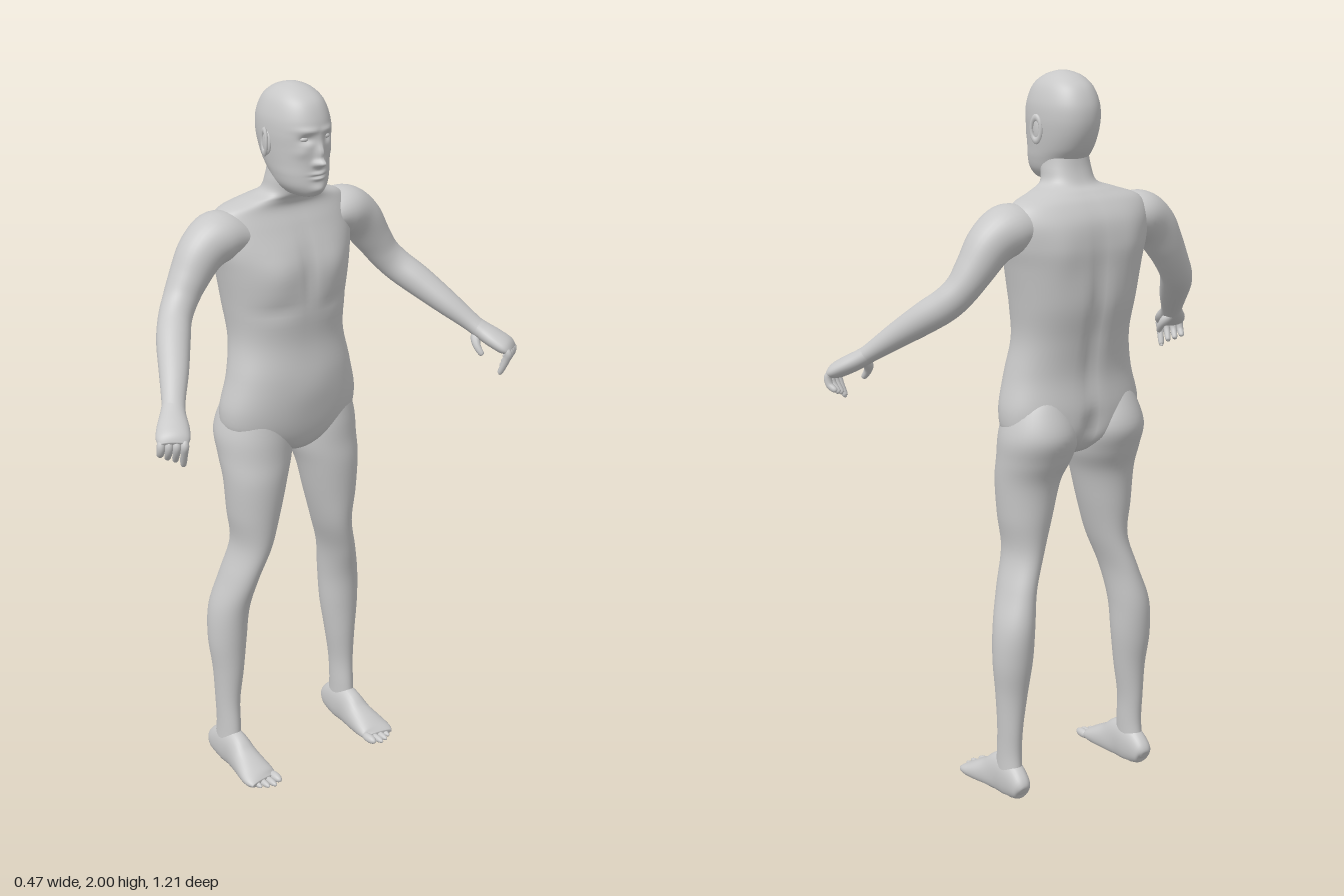
import * as THREE from 'three';

const skin = new THREE.MeshStandardMaterial({ color: 0xc8c8c8 });
skin.name = 'plain grey';

// Catmull-Rom interpolation of rows of numbers
function smoothRows(rows, steps) {
  const out = [], n = rows.length;
  for (let i = 0; i < n - 1; i++) {
    const [a, b, c, d] = [rows[Math.max(i - 1, 0)], rows[i], rows[i + 1], rows[Math.min(i + 2, n - 1)]];
    for (let s = 0; s < steps; s++) {
      const t = s / steps;
      out.push(b.map((_, k) => 0.5 * (2 * b[k] + (c[k] - a[k]) * t
        + (2 * a[k] - 5 * b[k] + 4 * c[k] - d[k]) * t * t
        + (3 * b[k] - a[k] - 3 * c[k] + d[k]) * t * t * t)));
    }
  }
  out.push(rows[n - 1]);
  return out;
}

// Skin over rings [x, y, z, radiusU, radiusV]; flat rings stay horizontal
function loft(rings, { seg = 32, steps = 6, flat = false, ref = [0, 1, 0], power = 2, shape } = {}) {
  const rows = smoothRows(rings, steps), pos = [], index = [];
  const centre = rows.map(r => new THREE.Vector3(r[0], r[1], r[2]));
  const up = new THREE.Vector3(...ref), last = rows.length - 1;
  const soft = c => Math.sign(c) * Math.pow(Math.abs(c), 2 / power);
  rows.forEach((r, i) => {
    let u = new THREE.Vector3(1, 0, 0), v = new THREE.Vector3(0, 0, 1);
    if (!flat) {
      const t = centre[Math.min(i + 1, last)].clone().sub(centre[Math.max(i - 1, 0)]).normalize();
      v = t.clone().cross(up).normalize();
      u = t.clone().cross(v);
    }
    for (let j = 0; j < seg; j++) {
      const a = j / seg * Math.PI * 2;
      const p = centre[i].clone().addScaledVector(u, r[3] * soft(Math.cos(a))).addScaledVector(v, r[4] * soft(Math.sin(a)));
      if (shape) shape(p, Math.cos(a));
      pos.push(p.x, p.y, p.z);
      const k = (j + 1) % seg, o = i * seg;
      if (i < last) index.push(o + j, o + seg + j, o + k, o + k, o + seg + j, o + seg + k);
    }
  });
  // end caps
  const first = pos.length / 3;
  pos.push(...centre[0].toArray(), ...centre[last].toArray());
  for (let j = 0; j < seg; j++) {
    const k = (j + 1) % seg, o = last * seg;
    index.push(first, j, k, first + 1, o + k, o + j);
  }
  const g = new THREE.BufferGeometry();
  g.setAttribute('position', new THREE.Float32BufferAttribute(pos, 3));
  g.setIndex(index);
  g.computeVertexNormals();
  return g;
}

// Rows of [y, back, front, inner, outer] to flat rings
const span = rows => rows.map(([y, b, f, i, o]) => [(b + f) / 2, y, (i + o) / 2, (f - b) / 2, (o - i) / 2]);
const spanCentred = rows => span(rows.map(([y, b, f, h]) => [y, b, f, -h, h]));

// Soft mirrored bumps [y, z, spreadY, spreadZ, amount] on the front (1) or back (-1)
const relief = list => (p, c) => {
  let dx = 0;
  for (const [side, y, z, sy, sz, amount] of list) {
    const w = Math.min(1, Math.max(0, c * side) * 2);
    dx += side * w * amount * Math.exp(-(((p.y - y) / sy) ** 2) - ((Math.abs(p.z) - z) / sz) ** 2);
  }
  p.x += dx;
};

function mirrored(g) {
  const m = g.clone().scale(1, 1, -1), ix = m.index;
  for (let i = 0; i < ix.count; i += 3) {
    const b = ix.getX(i + 1);
    ix.setX(i + 1, ix.getX(i + 2));
    ix.setX(i + 2, b);
  }
  m.computeVertexNormals();
  return m;
}

export function createModel() {
  const model = new THREE.Group();
  model.name = 'standing figure';
  const add = (name, g) => {
    const m = new THREE.Mesh(g, skin);
    m.name = name;
    model.add(m);
  };
  const pair = (name, g) => { add(name + 'A', g); add(name + 'B', mirrored(g)); };
  const ball = (x, y, z, rx, ry, rz) => new THREE.SphereGeometry(1, 20, 14).scale(rx, ry, rz).translate(x, y, z);

  // Torso and neck, with chest, belly and spine relief
  add('torso', loft(spanCentred([
    [0.965, -0.11, -0.03, 0.02], [0.985, -0.15, 0.0, 0.08], [1.03, -0.19, 0.02, 0.19], [1.1, -0.197, 0.032, 0.212],
    [1.2, -0.19, 0.035, 0.19], [1.3, -0.205, 0.025, 0.172], [1.4, -0.228, 0.03, 0.182], [1.5, -0.232, 0.024, 0.2],
    [1.56, -0.232, 0.01, 0.213], [1.62, -0.222, -0.015, 0.215], [1.665, -0.195, -0.035, 0.195],
    [1.69, -0.168, -0.03, 0.13], [1.71, -0.143, -0.015, 0.078], [1.75, -0.127, -0.005, 0.067], [1.8, -0.12, 0.0, 0.06],
  ]), {
    seg: 72, flat: true, power: 2.25, shape: relief([
      [1, 1.5, 0.09, 0.06, 0.06, 0.012], [1, 1.5, 0, 0.09, 0.015, -0.006], [1, 1.4, 0.1, 0.02, 0.06, -0.006],
      [1, 1.16, 0, 0.06, 0.07, 0.005], [-1, 1.35, 0, 0.2, 0.022, -0.014], [-1, 1.04, 0, 0.05, 0.02, -0.03],
      [-1, 1.55, 0.11, 0.08, 0.05, 0.008],
    ]),
  }));

  // Head with brow, eye sockets, nose, lips and chin
  add('head', loft(spanCentred([
    [1.708, -0.05, 0.03, 0.02], [1.717, -0.08, 0.05, 0.042], [1.74, -0.1, 0.06, 0.062], [1.77, -0.12, 0.062, 0.072],
    [1.8, -0.145, 0.062, 0.077], [1.84, -0.164, 0.064, 0.082], [1.88, -0.172, 0.066, 0.085], [1.92, -0.168, 0.06, 0.082],
    [1.96, -0.148, 0.04, 0.068], [1.985, -0.115, 0.005, 0.046], [1.997, -0.08, -0.03, 0.02], [2.0, -0.058, -0.052, 0.003],
  ]), {
    seg: 96, steps: 10, flat: true, power: 2.15, shape: relief([
      [1, 1.807, 0, 0.011, 0.011, 0.027], [1, 1.835, 0, 0.022, 0.01, 0.018], [1, 1.806, 0.014, 0.008, 0.007, 0.008],
      [1, 1.87, 0.034, 0.011, 0.016, -0.012], [1, 1.893, 0.03, 0.008, 0.028, 0.005], [1, 1.835, 0.048, 0.015, 0.015, 0.004],
      [1, 1.778, 0, 0.005, 0.02, 0.008], [1, 1.765, 0, 0.005, 0.017, 0.008], [1, 1.771, 0, 0.002, 0.022, -0.004],
      [1, 1.735, 0, 0.013, 0.022, 0.009],
    ]),
  }));
  pair('eye', ball(0.04, 1.87, 0.034, 0.012, 0.008, 0.014));
  pair('ear', ball(-0.055, 1.85, 0.083, 0.017, 0.033, 0.008));
  pair('earRim', new THREE.TorusGeometry(0.016, 0.005, 8, 24).scale(1, 1.9, 1).rotateY(-0.3).translate(-0.058, 1.851, 0.089));

  // Legs, from ankle to buttock
  pair('leg', loft(span([
    [0.05, -0.15, -0.045, 0.18, 0.24], [0.12, -0.14, -0.05, 0.178, 0.238], [0.2, -0.143, -0.055, 0.175, 0.24],
    [0.3, -0.15, -0.05, 0.16, 0.246], [0.4, -0.165, -0.045, 0.147, 0.256], [0.5, -0.17, -0.035, 0.14, 0.25],
    [0.6, -0.155, -0.01, 0.125, 0.22], [0.7, -0.142, 0.01, 0.09, 0.193], [0.8, -0.148, 0.02, 0.06, 0.206],
    [0.9, -0.157, 0.025, 0.033, 0.215], [0.97, -0.187, 0.02, 0.008, 0.218], [1.04, -0.211, 0.015, 0.003, 0.217],
    [1.12, -0.185, 0.0, 0.03, 0.19], [1.18, -0.15, -0.03, 0.07, 0.15],
  ]), { seg: 40, flat: true }));

  // Feet with flat soles and five toes
  pair('foot', loft([
    [-0.172, 0.03, 0.21, 0.01, 0.012], [-0.16, 0.035, 0.21, 0.035, 0.027], [-0.11, 0.045, 0.208, 0.06, 0.034],
    [-0.06, 0.045, 0.208, 0.062, 0.035], [-0.01, 0.03, 0.209, 0.046, 0.042], [0.04, 0.02, 0.212, 0.031, 0.05],
    [0.07, 0.015, 0.214, 0.02, 0.051], [0.088, 0.012, 0.212, 0.009, 0.044],
  ], { power: 2.2, shape: p => { p.y = Math.max(p.y, 0); } }));
  [[0.174, 0.118, 0.013], [0.196, 0.126, 0.01], [0.216, 0.12, 0.0095], [0.235, 0.108, 0.009], [0.252, 0.092, 0.0085]]
    .forEach(([z, tip, r], i) => pair('toe' + (i + 1), ball(tip - 0.03, r, z, 0.03, r, r)));

  // Arms, bent forward at the elbow
  pair('arm', loft([
    [-0.107, 1.6, 0.14, 0.045, 0.07], [-0.107, 1.605, 0.205, 0.068, 0.078], [-0.105, 1.572, 0.262, 0.064, 0.066],
    [-0.1, 1.51, 0.308, 0.053, 0.055], [-0.09, 1.46, 0.342, 0.046, 0.048], [-0.067, 1.42, 0.375, 0.045, 0.045],
    [-0.02, 1.38, 0.412, 0.043, 0.045], [0.05, 1.325, 0.458, 0.035, 0.039], [0.11, 1.275, 0.5, 0.026, 0.031],
    [0.14, 1.25, 0.52, 0.024, 0.031],
  ]));

  // Loosely curled hands
  pair('hand', loft([
    [0.115, 1.27, 0.504, 0.024, 0.029], [0.14, 1.251, 0.522, 0.025, 0.034], [0.17, 1.232, 0.542, 0.025, 0.042],
    [0.197, 1.215, 0.56, 0.022, 0.044], [0.211, 1.204, 0.569, 0.011, 0.036],
  ]));
  for (let i = 0; i < 4; i++) {
    const o = -0.03 + i * 0.02, x = 0.2 - 0.58 * o, z = 0.562 + 0.81 * o, drop = [0.068, 0.056, 0.05, 0.042][i];
    pair('finger' + (i + 1), loft([
      [x - 0.005, 1.218, z, 0.007, 0.007], [x + 0.008, 1.202, z + 0.006, 0.011, 0.011],
      [x + 0.003, 1.18, z + 0.005, 0.01, 0.01], [x - 0.013, 1.21 - drop, z - 0.002, 0.008, 0.008],
      [x - 0.016, 1.206 - drop, z - 0.004, 0.003, 0.003],
    ], { seg: 12, steps: 4, ref: [0, 0, 1] }));
  }
  pair('thumb', loft([
    [0.125, 1.25, 0.515, 0.012, 0.012], [0.135, 1.234, 0.5, 0.014, 0.014], [0.15, 1.214, 0.493, 0.011, 0.011],
    [0.166, 1.194, 0.497, 0.008, 0.008], [0.169, 1.19, 0.498, 0.003, 0.003],
  ], { seg: 12, steps: 4, ref: [0, 0, 1] }));

  return model;
}
